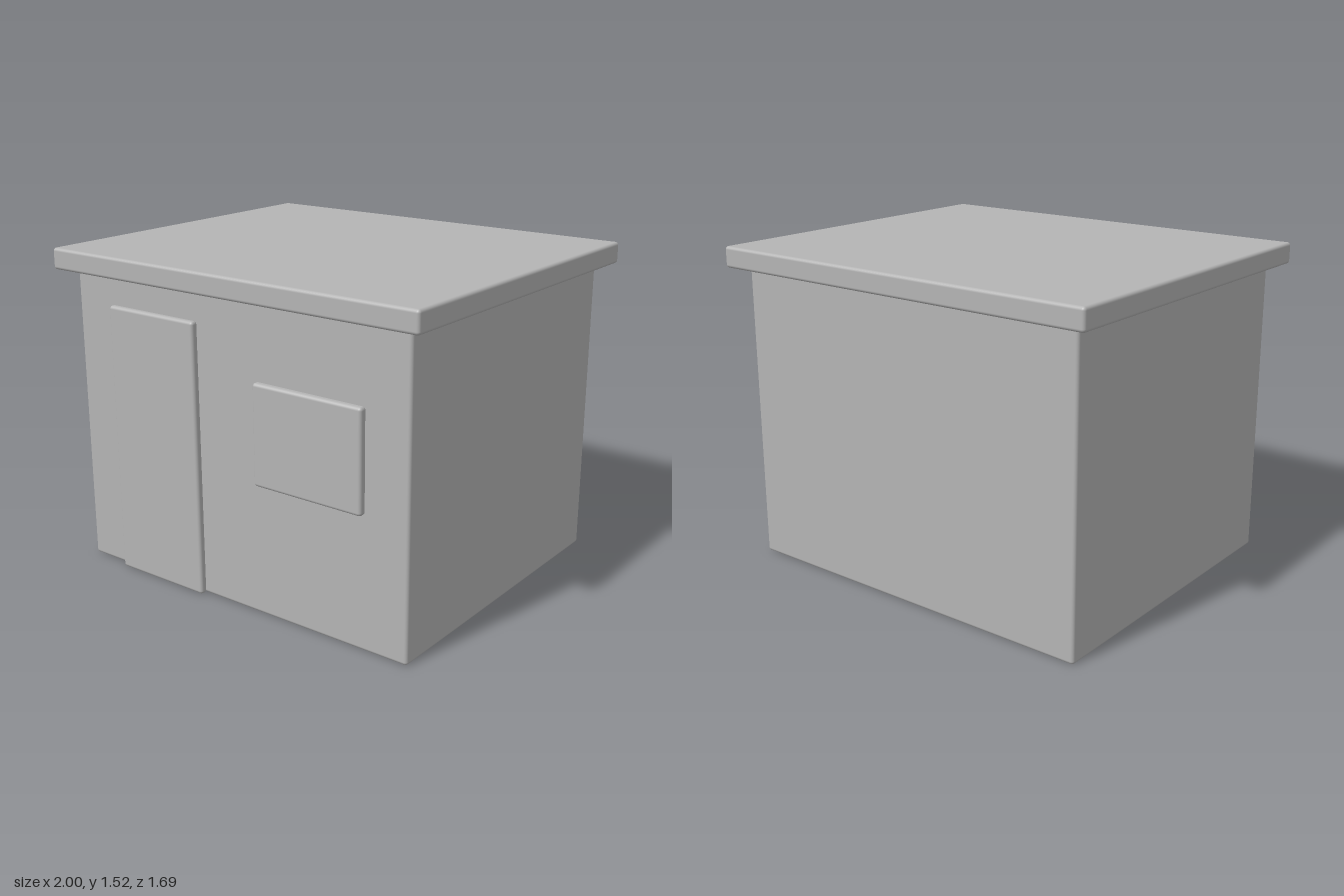
import * as THREE from 'three';
import { RoundedBoxGeometry } from 'three/addons/geometries/RoundedBoxGeometry.js';

export function createModel() {
  const hut = new THREE.Group();
  hut.name = 'hut';
  const grey = new THREE.MeshStandardMaterial({ color: 0xb4b4b4 });
  grey.name = 'plainGrey';

  // Soft-edged block given by its minimum and maximum corners
  function block(name, min, max, radius) {
    const size = max.map((v, i) => v - min[i]);
    const mesh = new THREE.Mesh(new RoundedBoxGeometry(...size, 4, radius), grey);
    mesh.position.set(...max.map((v, i) => (v + min[i]) / 2));
    mesh.name = name;
    hut.add(mesh);
  }

  // Body and overhanging flat roof
  block('walls', [-0.922, 0, -0.768], [0.922, 1.44, 0.768], 0.015);
  block('roof', [-1, 1.42, -0.845], [1, 1.52, 0.845], 0.015);

  // Raised panels on the front wall
  block('door', [-0.695, 0, 0.764], [-0.183, 1.285, 0.801], 0.015);
  block('window', [0.153, 0.62, 0.77], [0.715, 1.08, 0.81], 0.015);

  return hut;
}
